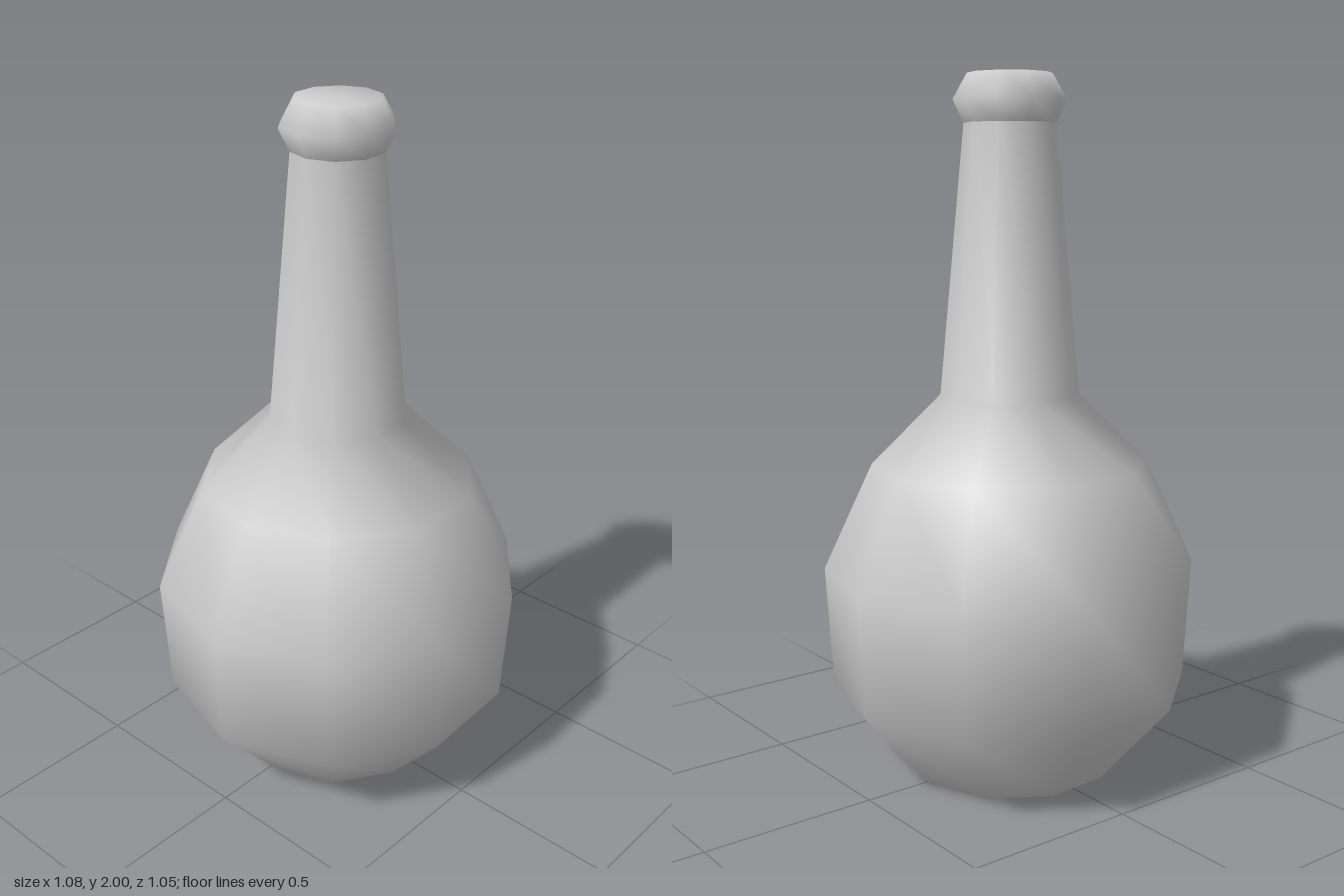
import * as THREE from 'three';

const SIDES = 10;
const TURN = THREE.MathUtils.degToRad(21);

export function createModel() {
  const bottle = new THREE.Group();
  bottle.name = 'bottle';
  const material = new THREE.MeshStandardMaterial({ color: 0xcccccc });

  function add(name, geometry) {
    const mesh = new THREE.Mesh(geometry, material);
    mesh.name = name;
    bottle.add(mesh);
    return mesh;
  }

  // Smooth ten-sided turning from [radius, height] pairs, bottom to top
  function turned(name, profile) {
    const points = profile.map(([r, y]) => new THREE.Vector2(r, y));
    return add(name, new THREE.LatheGeometry(points, SIDES, TURN));
  }

  // Round belly, shoulder and tapering neck
  turned('bodyAndNeck', [
    [0.305, 0], [0.52, 0.247], [0.541, 0.597], [0.4, 0.904], [0.2, 1.105], [0.13, 1.865],
  ]);

  // Flared lip with a softly shaded closed top
  turned('lip', [[0.13, 1.865], [0.16, 1.928], [0.12, 2], [0, 2]]);

  // Flat base, its corners lined up with the body
  const base = new THREE.CircleGeometry(0.305, SIDES, Math.PI / 2 - TURN);
  base.rotateX(Math.PI / 2);
  add('base', base);

  return bottle;
}
